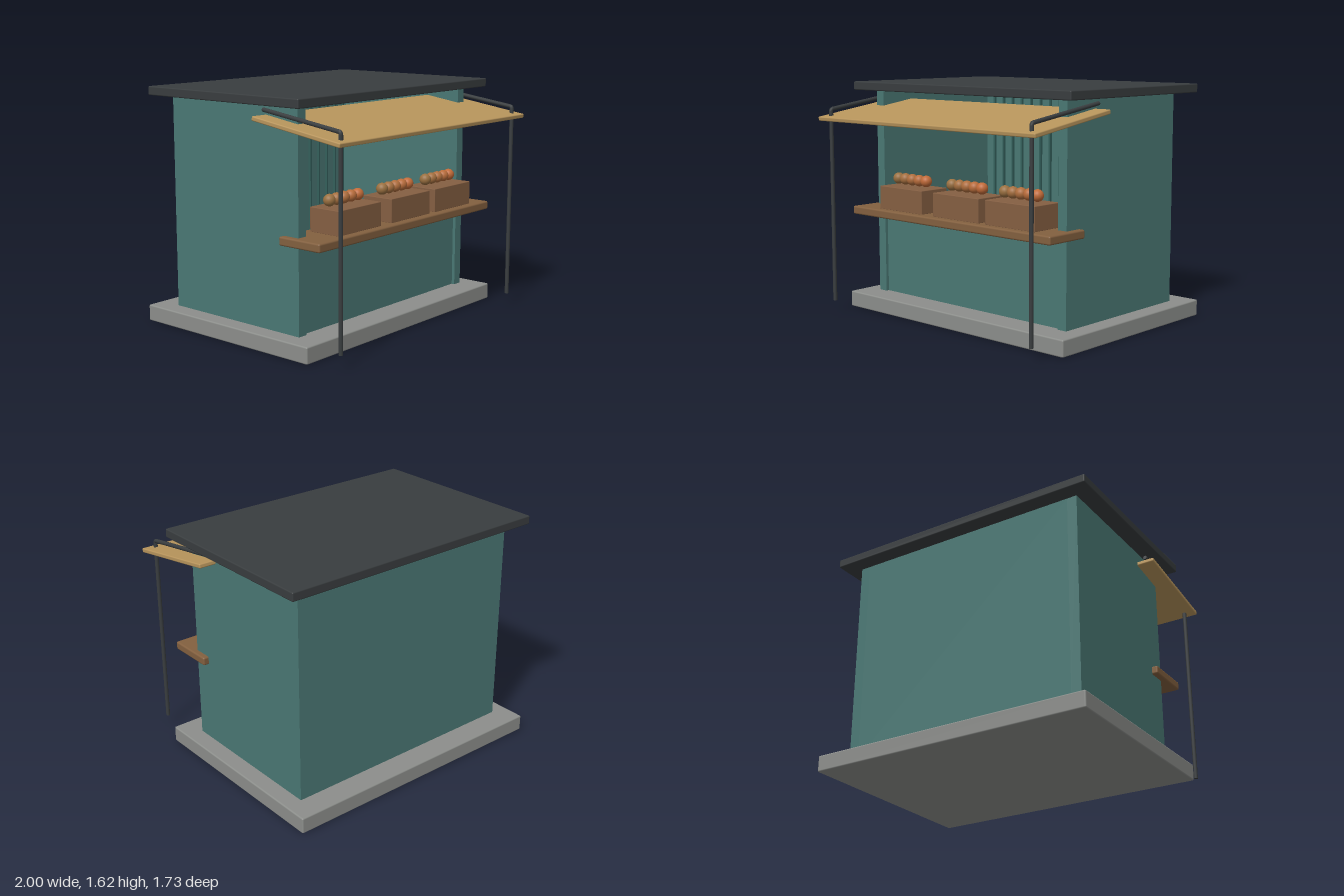
import * as THREE from 'three';
import { RoundedBoxGeometry } from 'three/addons/geometries/RoundedBoxGeometry.js';

const paint = (color) => new THREE.MeshStandardMaterial({ color });

export function createModel() {
  const stall = new THREE.Group();
  stall.name = 'marketStall';

  const teal = paint(0x4a7874);
  const darkTeal = paint(0x34605c);
  const stone = paint(0x8c8e8b);
  const slate = paint(0x393d3f);
  const canvas = paint(0xb8955c);
  const wood = paint(0x83603f);
  const crateWood = paint(0x855f42);

  const add = (name, geometry, material, parent = stall) => {
    const mesh = new THREE.Mesh(geometry, material);
    mesh.name = name;
    parent.add(mesh);
    return mesh;
  };

  // Box given by its [min, max] on each axis; a bevel rounds the edges
  const box = (name, [x0, x1], [y0, y1], [z0, z1], material, bevel = 0, parent = stall) => {
    const size = [x1 - x0, y1 - y0, z1 - z0];
    const geometry = bevel
      ? new RoundedBoxGeometry(...size, 2, bevel)
      : new THREE.BoxGeometry(...size);
    const mesh = add(name, geometry, material, parent);
    mesh.position.set((x0 + x1) / 2, (y0 + y1) / 2, (z0 + z1) / 2);
    return mesh;
  };

  // Slab and roof
  box('base', [-1, 1], [0, 0.112], [-0.86, 0.605], stone, 0.01);
  box('roof', [-1, 1], [1.56, 1.62], [-0.8, 0.545], slate, 0.008);

  // Hut: open above the counter at the front
  box('leftWall', [0.81, 0.88], [0.11, 1.562], [-0.69, 0.432], teal);
  box('rightWall', [-0.88, -0.81], [0.11, 1.562], [-0.69, 0.432], teal);
  box('backWall', [-0.81, 0.81], [0.11, 1.562], [-0.69, -0.63], teal);
  box('frontPanel', [-0.81, 0.81], [0.11, 0.7], [0.35, 0.41], teal);

  // Ribs on the inside of the back wall
  const ribs = new THREE.Group();
  ribs.name = 'backWallRibs';
  stall.add(ribs);
  for (let i = 0; i < 17; i++) {
    const x = -0.721 + i * 0.0937;
    box('rib', [x - 0.007, x + 0.007], [0.11, 1.555], [-0.635, -0.61], darkTeal, 0, ribs);
  }

  // Counter shelf
  box('counter', [-0.92, 0.92], [0.688, 0.746], [0.3, 0.638], wood, 0.012);

  // Crates, each with a row of five fruits
  const fruitGeometry = new THREE.SphereGeometry(0.04, 20, 14);
  const ripe = new THREE.Color(0xc06a38);
  const fruitPaints = [0, 1, 2, 3, 4].map((i) =>
    paint(new THREE.Color(0x9a7040).lerp(ripe, i / 4)));
  for (const cx of [-0.472, 0.06, 0.542]) {
    const produce = new THREE.Group();
    produce.name = 'produce';
    produce.position.x = cx;
    stall.add(produce);
    box('crate', [-0.211, 0.211], [0.744, 0.906], [0.35, 0.588], crateWood, 0.004, produce);
    fruitPaints.forEach((material, i) => {
      const fruit = add('fruit', fruitGeometry, material, produce);
      fruit.position.set(-0.014 + (i - 2) * 0.0695, 0.953, 0.462);
    });
  }

  // Sloping awning
  const awning = add('awning', new RoundedBoxGeometry(2, 0.03, 0.716, 2, 0.008), canvas);
  awning.position.set(0, 1.424, 0.511);
  awning.rotation.x = 0.148;

  // Bent poles: an upright, a tight bend and an arm running back to the hut
  for (const side of [-1, 1]) {
    const point = (y, z) => new THREE.Vector3(side * 0.925, y, z);
    const path = new THREE.CurvePath();
    path.add(new THREE.LineCurve3(point(0.09, 0.811), point(1.425, 0.811)));
    path.add(new THREE.QuadraticBezierCurve3(
      point(1.425, 0.811), point(1.439, 0.811), point(1.441, 0.797)));
    path.add(new THREE.LineCurve3(point(1.441, 0.797), point(1.527, 0.187)));
    add('awningPole', new THREE.TubeGeometry(path, 240, 0.014, 10), slate);

    // End caps
    const lowerCap = add('poleCap', new THREE.CircleGeometry(0.014, 10), slate);
    lowerCap.position.copy(point(0.09, 0.811));
    lowerCap.rotation.x = Math.PI / 2;
    const upperCap = add('poleCap', new THREE.CircleGeometry(0.014, 10), slate);
    upperCap.position.copy(point(1.527, 0.187));
    upperCap.lookAt(point(1.613, -0.423));
  }

  return stall;
}
